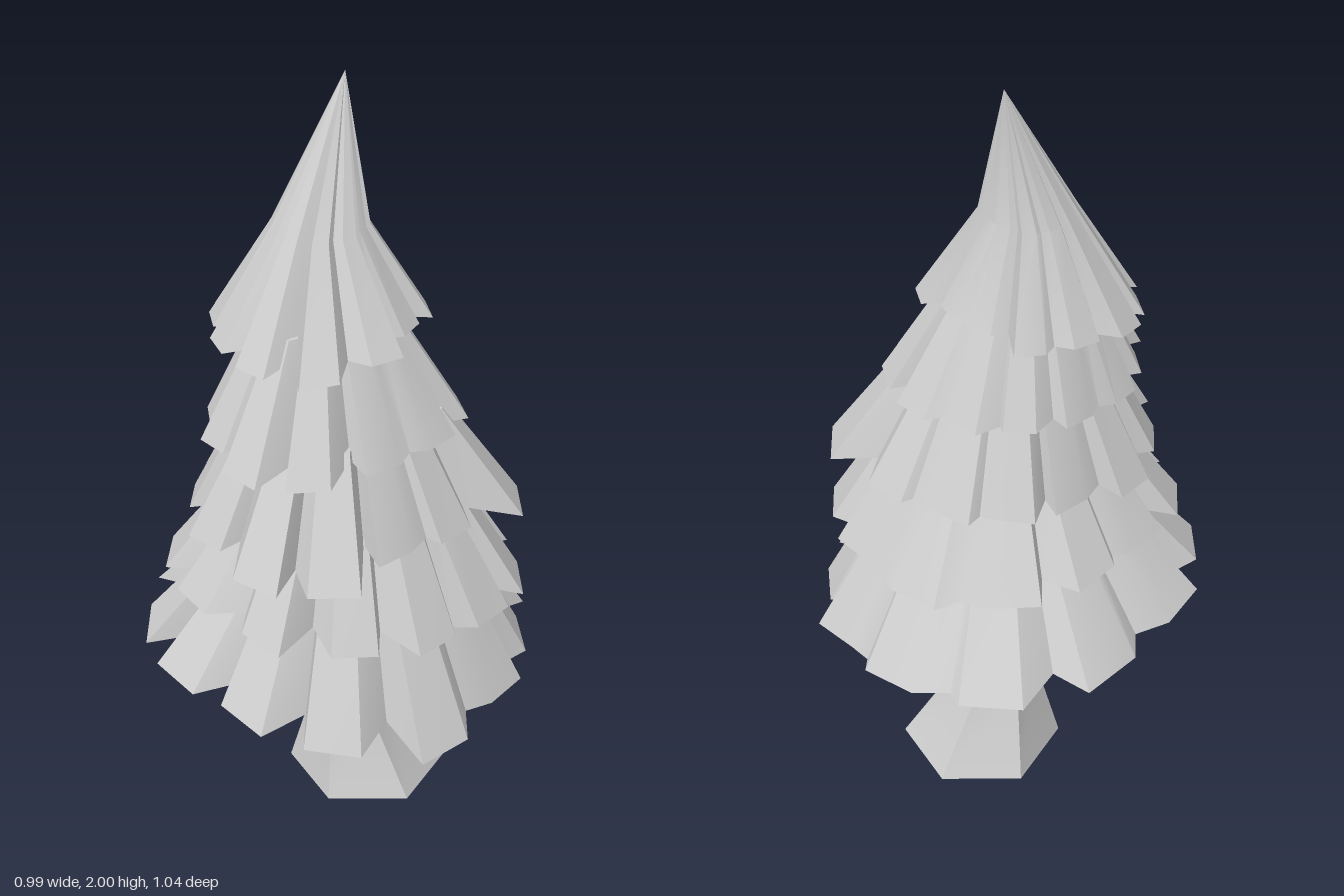
import * as THREE from 'three';
import { toCreasedNormals } from 'three/addons/utils/BufferGeometryUtils.js';

const material = new THREE.MeshStandardMaterial({ color: 0xcccccc, side: THREE.DoubleSide });
const polar = (x, y, z, r, a) => new THREE.Vector3(x + r * Math.cos(a), y, z + r * Math.sin(a));

// Skin a stack of equally sized loops, listed from top to bottom
function loft(name, loops) {
  const pos = [];
  const tri = (a, b, c) => {
    if (a.equals(b) || b.equals(c) || c.equals(a)) return;
    for (const p of [a, b, c]) pos.push(p.x, p.y, p.z);
  };
  for (let k = 0; k < loops.length - 1; k++) {
    const a = loops[k], b = loops[k + 1], n = a.length;
    for (let i = 0; i < n; i++) {
      const j = (i + 1) % n;
      tri(a[i], a[j], b[j]);
      tri(a[i], b[j], b[i]);
    }
  }
  const geo = new THREE.BufferGeometry();
  geo.setAttribute('position', new THREE.Float32BufferAttribute(pos, 3));
  const mesh = new THREE.Mesh(toCreasedNormals(geo, 0.5), material);
  mesh.name = name;
  return mesh;
}

// One skirt of boughs: tip -> narrow collar -> jagged rim -> hollow underside.
// reach holds the length of each bough, going round from +x towards +z.
function tier({ name, centre: [x, z], y, tilt, top, collar, tip = [x, top + 0.02, z], reach }) {
  const n = reach.length, step = 2 * Math.PI / n;
  const rim = reach.flatMap((r, i) => {
    const a = (i + 0.15 * Math.sin(i * 7.3 + y * 20)) * step;
    const next = reach[(i + 1) % n];
    const skew = 0.03 * Math.sin(i * 4.1 + y * 30);
    const gap = (i + 0.5) * step;
    // Each bough has a broad end of two corners, then a notch that is shallow at the back left
    return [
      { a: a - 0.28 * step, r: r * (1 + skew) },
      { a: a + 0.28 * step, r: r * (1 - skew) },
      { a: gap, r: Math.min(r, next) * (0.88 + 0.08 * Math.cos(gap + 0.8) + 1.5 * skew) },
    ];
  });
  const mean = rim.reduce((sum, p) => sum + p.r, 0) / rim.length;
  const edge = rim.map((p) => {
    const v = polar(x, y, z, p.r, p.a);
    v.y += tilt[0] * v.x + tilt[1] * v.z + 0.25 * (mean - p.r);
    return v;
  });
  const neck = rim.map((p) => polar(x, top, z, collar * (0.4 + 0.6 * p.r / mean), p.a));
  const point = (...p) => rim.map(() => new THREE.Vector3(...p));
  return loft(name, [point(...tip), neck, edge, point(x, y + 0.06, z)]);
}

const tiers = [
  { name: 'treeTop', centre: [-0.04, -0.035], y: 1.42, tilt: [0.05, -0.03], top: 1.66,
    collar: 0.11, tip: [0.015, 2, -0.11],
    reach: [0.26, 0.24, 0.28, 0.32, 0.3, 0.28, 0.27, 0.27, 0.24, 0.25, 0.2, 0.21] },
  { name: 'upperBoughs', centre: [-0.04, 0.02], y: 1.18, tilt: [0.02, 0.02], top: 1.46,
    collar: 0.155,
    reach: [0.35, 0.33, 0.32, 0.36, 0.36, 0.31, 0.28, 0.27, 0.26, 0.27, 0.29, 0.33] },
  { name: 'middleBoughs', centre: [-0.01, 0.04], y: 0.95, tilt: [0.02, 0.01], top: 1.22,
    collar: 0.22,
    reach: [0.47, 0.36, 0.34, 0.43, 0.43, 0.38, 0.36, 0.36, 0.32, 0.34, 0.36, 0.39] },
  { name: 'lowerBoughs', centre: [0.02, 0.05], y: 0.75, tilt: [-0.05, -0.03], top: 0.99,
    collar: 0.265,
    reach: [0.45, 0.42, 0.4, 0.39, 0.41, 0.43, 0.46, 0.42, 0.42, 0.44, 0.45, 0.43] },
  { name: 'bottomBoughs', centre: [0.02, 0.04], y: 0.53, tilt: [-0.1, -0.05], top: 0.79,
    collar: 0.31,
    reach: [0.47, 0.46, 0.5, 0.48, 0.47, 0.5, 0.52, 0.52, 0.54, 0.55, 0.52, 0.5] },
];

// Leaning six-sided trunk with a flared open foot; each section is x, y, z, radius
function trunk() {
  const sections = [[0, 0.62, 0.02, 0.06], [0.005, 0.54, 0, 0.06], [0.01, 0.43, -0.045, 0.08],
    [0.035, 0.23, -0.055, 0.108], [0.08, 0, -0.065, 0.215]];
  return loft('trunk', sections.map(([x, y, z, r]) =>
    Array.from({ length: 6 }, (_, i) => polar(x, y, z, r, i * Math.PI / 3))));
}

export function createModel() {
  const group = new THREE.Group();
  group.name = 'pineTree';
  group.add(trunk(), ...tiers.map(tier));
  return group;
}
